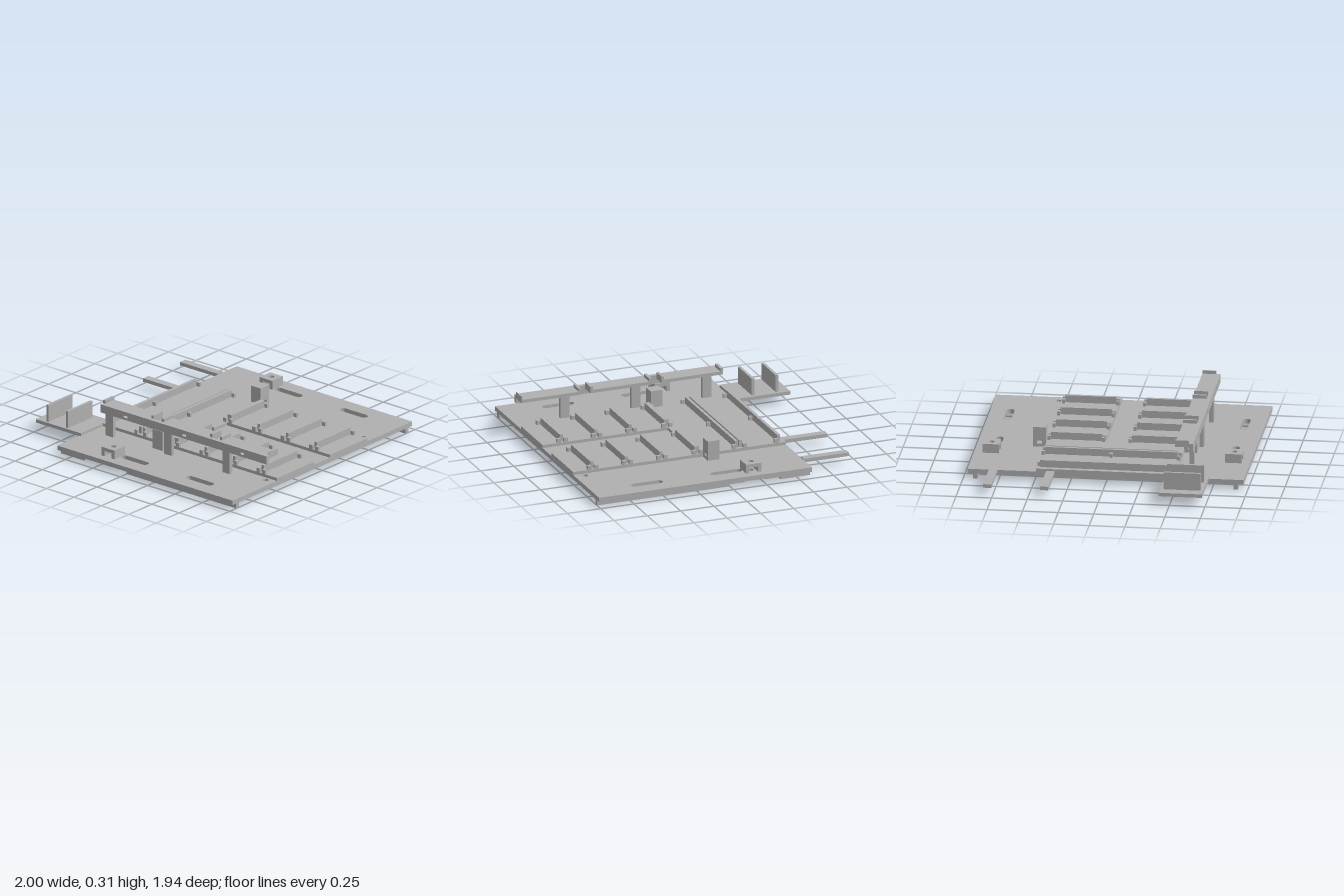
import * as THREE from 'three';

export function createModel() {
  const model = new THREE.Group();
  const grey = new THREE.MeshStandardMaterial({ color: 0xb0b0b0 });
  grey.name = 'plain grey';

  const add = (name, geometry) => {
    const mesh = new THREE.Mesh(geometry, grey);
    mesh.name = name;
    model.add(mesh);
    return mesh;
  };
  // Box given by its limits on each axis
  const box = (name, x0, x1, y0, y1, z0, z1) => {
    const g = new THREE.BoxGeometry(x1 - x0, y1 - y0, z1 - z0);
    g.translate((x0 + x1) / 2, (y0 + y1) / 2, (z0 + z1) / 2);
    return add(name, g);
  };
  const polygon = (points) => new THREE.Shape(points.map(([x, y]) => new THREE.Vector2(x, y)));
  const rect = (x0, x1, y0, y1) => polygon([[x0, y0], [x1, y0], [x1, y1], [x0, y1]]);
  const round = (x, y, r) => new THREE.Path().absarc(x, y, r, 0, Math.PI * 2, true);
  const slot = (x0, x1, y, r) => {
    const p = new THREE.Path();
    p.absarc(x1 - r, y, r, -Math.PI / 2, Math.PI / 2, false);
    p.absarc(x0 + r, y, r, Math.PI / 2, Math.PI * 1.5, false);
    p.closePath();
    return p;
  };
  const extrude = (shape, depth) =>
    new THREE.ExtrudeGeometry(shape, { depth, bevelEnabled: false, curveSegments: 10 });
  // Flat sheet drawn in plan (x, -z)
  const sheet = (name, shape, y0, y1) =>
    add(name, extrude(shape, y1 - y0).rotateX(-Math.PI / 2).translate(0, y0, 0));

  // Base plate with slots and drilled holes
  const base = rect(-0.6, 1, -0.97, 0.97);
  for (const s of [-1, 1]) {
    base.holes.push(
      slot(-0.13, 0.11, s * 0.83, 0.028), slot(0.465, 0.705, s * 0.83, 0.028),
      round(-0.187, s * 0.853, 0.021), round(0.925, s * 0.525, 0.021),
      round(-0.19, s * 0.265, 0.014), round(-0.3, s * 0.265, 0.014));
  }
  sheet('basePlate', base, 0.037, 0.07);

  // Foot rails along front and back edges, stepped around the gap
  for (const z of [-0.93, 0.9]) {
    for (const points of [
      [[-0.6, 0], [-0.38, 0], [-0.38, 0.016], [-0.26, 0.016], [-0.26, 0.037], [-0.6, 0.037]],
      [[-0.11, 0.016], [0, 0.016], [0, 0], [1, 0], [1, 0.037], [-0.11, 0.037]],
    ]) add('footRail', extrude(polygon(points), 0.03).translate(0, 0, z));
  }

  // Raised deck with a sunken channel on the left
  sheet('raisedDeck', polygon([
    [-0.6, -0.488], [1, -0.488], [1, -0.083], [0.06, -0.083],
    [0.06, 0.083], [1, 0.083], [1, 0.488], [-0.6, 0.488],
  ]), 0.07, 0.092);

  // Divider ribs held by small clips
  const clip = (x0, x1, z) => box('clip', x0, x1, 0.092, 0.121, z - 0.011, z + 0.011);
  for (const [x, sides] of [[-0.552, [1]], [-0.268, [-1]], [-0.235, [1]]]) {
    box('longRib', x - 0.011, x + 0.011, 0.092, 0.143, -0.465, 0.465);
    for (const side of sides) {
      const edge = x + side * 0.011, far = edge + side * 0.026;
      for (const z of [-0.476, 0, 0.476]) clip(Math.min(edge, far), Math.max(edge, far), z);
    }
  }
  for (const [x, half, sides] of [[0.062, 0.018, [-1, 1]], [0.33, 0.012, [-1, 1]], [0.59, 0.012, [-1, 1]], [0.85, 0.012, [-1, 1]]]) {
    for (const s of [-1, 1]) {
      box('shortRib', x - half, x + half, 0.092, 0.143, Math.min(s * 0.105, s * 0.465), Math.max(s * 0.105, s * 0.465));
      for (const side of sides) {
        const a = x + side * 0.012, b = x + side * 0.04;
        for (const z of [0.094, 0.476]) clip(Math.min(a, b), Math.max(a, b), s * z);
      }
    }
  }

  // Raised beam with slots, legs and three small trays
  const beam = rect(-0.515, 1, 0.23, 0.29);
  for (const x of [-0.285, 0.25, 0.78]) beam.holes.push(slot(x - 0.018, x + 0.018, 0.254, 0.008));
  add('beam', extrude(beam, 0.03).translate(0, 0, 0.575));
  for (const x of [-0.435, 0.1, 0.632]) box('beamLeg', x - 0.034, x + 0.034, 0.07, 0.23, 0.575, 0.605);
  for (const [x0, x1, lastWall] of [[-0.515, -0.053, 0.02], [0.02, 0.482, 0.02], [0.55, 1, 0.006]]) {
    box('trayFloor', x0, x1, 0.266, 0.29, 0.477, 0.575);
    box('trayWall', x0, x0 + 0.02, 0.29, 0.314, 0.477, 0.575);
    box('trayWall', x1 - lastWall, x1, 0.29, 0.314, 0.477, 0.575);
  }

  // Tall blocks with a cross tunnel
  for (const z of [-0.533, 0.53]) {
    const block = rect(-0.045, 0.045, 0.07, 0.212);
    block.holes.push(rect(-0.018, 0.018, 0.092, 0.113));
    add('tunnelBlock', extrude(block, 0.09).rotateY(Math.PI / 2).translate(-0.065, 0, z));
  }

  // Drilled bridge brackets
  for (const s of [-1, 1]) {
    const top = rect(-0.245, -0.129, s * 0.853 - 0.058, s * 0.853 + 0.058);
    top.holes.push(round(-0.187, s * 0.853, 0.021));
    sheet('bracketTop', top, 0.11, 0.135);
    for (const x of [-0.245, -0.154]) {
      box('bracketLeg', x, x + 0.025, 0.07, 0.11, s * 0.853 - 0.058, s * 0.853 + 0.058);
    }
  }

  // Side platform with two fins
  box('sidePlatform', -1, -0.59, 0.065, 0.09, 0.425, 0.728);
  for (const x of [-0.91, -0.73]) box('fin', x - 0.01, x + 0.01, 0.09, 0.214, 0.45, 0.71);

  // Side arms
  for (const z of [-0.788, -0.388]) box('sideArm', -0.94, -0.6, 0.053, 0.079, z - 0.029, z + 0.029);

  return model;
}
